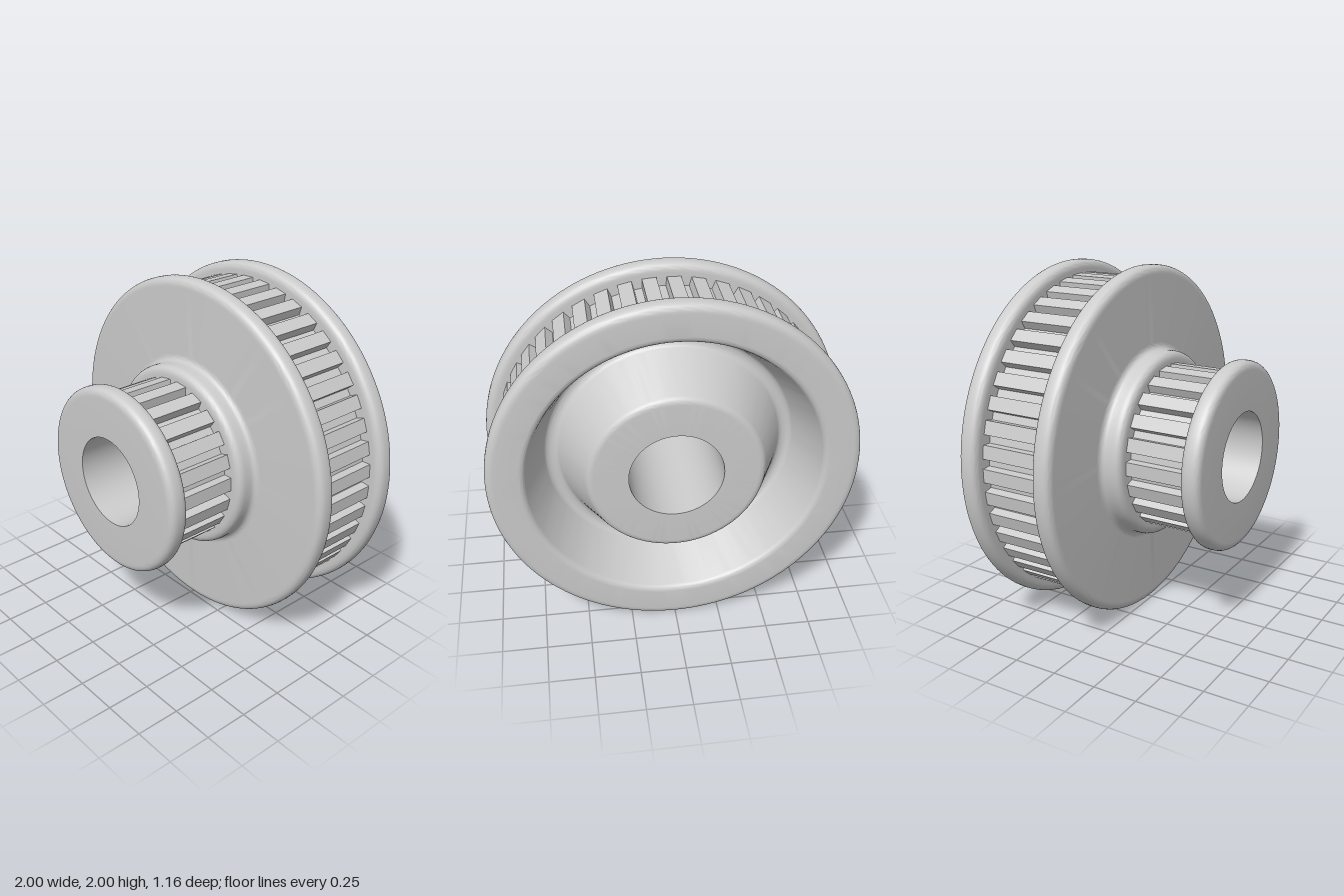
import * as THREE from 'three';
import { toCreasedNormals } from 'three/addons/utils/BufferGeometryUtils.js';

const material = new THREE.MeshStandardMaterial({ color: 0xcccccc });

// Turns corners [radius, z, fillet] into profile points with rounded corners
function roundedProfile(corners) {
  const points = [];
  corners.forEach(([r, z, fillet], i) => {
    const corner = new THREE.Vector2(r, z);
    if (!fillet) {
      points.push(corner);
      return;
    }
    const toward = ([x, y]) =>
      corner.clone().add(new THREE.Vector2(x, y).sub(corner).setLength(fillet));
    const curve = new THREE.QuadraticBezierCurve(toward(corners[i - 1]), corner, toward(corners[i + 1]));
    points.push(...curve.getPoints(8));
  });
  return points;
}

// Toothed ring between two flanges, with tapered tooth flanks
function toothRing(name, teeth, tip, root, bore, zBack, zFront, phaseDegrees) {
  const shape = new THREE.Shape();
  const pitch = (Math.PI * 2) / teeth;
  const phase = THREE.MathUtils.degToRad(phaseDegrees);
  const outline = [];
  for (let i = 0; i < teeth; i++) {
    for (const [offset, r] of [[-0.33, root], [-0.29, tip], [0.29, tip], [0.33, root]]) {
      const a = phase + (i + offset) * pitch;
      outline.push(new THREE.Vector2(Math.cos(a) * r, Math.sin(a) * r));
    }
  }
  shape.setFromPoints(outline);
  shape.holes.push(new THREE.Path().absarc(0, 0, bore, 0, Math.PI * 2, true));
  const geometry = new THREE.ExtrudeGeometry(shape, {
    depth: zFront - zBack, bevelEnabled: false, curveSegments: 32,
  });
  geometry.translate(0, 0, zBack);
  const mesh = new THREE.Mesh(geometry, material);
  mesh.name = name;
  return mesh;
}

export function createModel() {
  const group = new THREE.Group();
  group.name = 'steppedPulley';

  // Turned body: bore, rear recess, both flange pairs and the collar
  const profile = roundedProfile([
    [0.255, -0.58],
    [0.47, -0.58, 0.03], [0.62, -0.27, 0.03],
    [0.68, -0.27, 0.03], [0.8, -0.58, 0.03],
    [1, -0.58, 0.05], [1, -0.468, 0.05],
    [0.85, -0.468], [0.85, -0.112],
    [1, -0.112, 0.05], [1, 0, 0.05],
    [0.53, 0, 0.04], [0.53, 0.115, 0.05],
    [0.39, 0.115], [0.39, 0.468],
    [0.53, 0.468, 0.05], [0.53, 0.58, 0.05],
    [0.255, 0.58], [0.255, -0.58],
  ]);
  const lathe = new THREE.LatheGeometry(profile, 128);
  lathe.rotateX(Math.PI / 2);
  const body = new THREE.Mesh(toCreasedNormals(lathe, 0.6), material);
  body.name = 'flangedBody';
  group.add(body);

  // Belt teeth
  group.add(toothRing('largeTeeth', 45, 0.93, 0.88, 0.83, -0.48, -0.1, 4.75));
  group.add(toothRing('smallTeeth', 22, 0.465, 0.415, 0.36, 0.1, 0.48, 1.45));

  // Stand the pulley on the ground
  for (const part of group.children) part.position.y = 1;
  return group;
}
